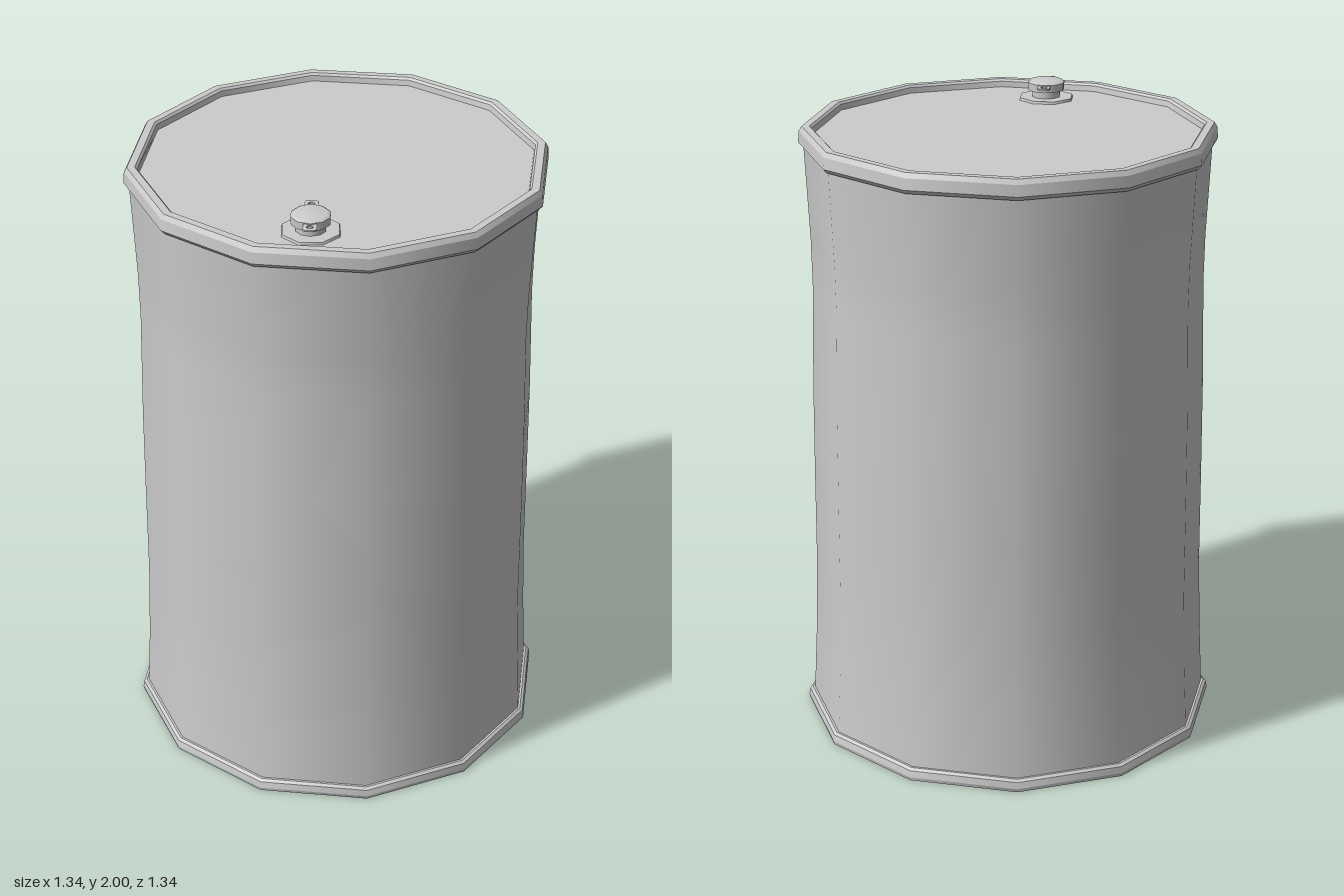
import * as THREE from 'three';
import { mergeGeometries } from 'three/addons/utils/BufferGeometryUtils.js';

const grey = new THREE.MeshStandardMaterial({ color: 0xcccccc });

// Smooth around the axis, sharp between profile segments
function creasedLathe(points, sides) {
  const strips = [];
  for (let i = 0; i < points.length - 1; i++) {
    const pair = [points[i], points[i + 1]].map(([r, y]) => new THREE.Vector2(r, y));
    strips.push(new THREE.LatheGeometry(pair, sides));
  }
  return mergeGeometries(strips);
}

function addMesh(parent, name, geometry) {
  const mesh = new THREE.Mesh(geometry, grey);
  mesh.name = name;
  parent.add(mesh);
  return mesh;
}

export function createModel() {
  const SIDES = 12;
  const drum = new THREE.Group();
  drum.name = 'drum';

  // Base plate with its rolled rim
  addMesh(drum, 'bottomRim', creasedLathe(
    [[0, 0], [0.665, 0], [0.668, 0.012], [0.664, 0.033], [0.655, 0.04], [0.64, 0.04]], SIDES));

  // Slightly waisted, smooth wall
  const wall = [[0.648, 0.04], [0.637, 0.25], [0.629, 0.5], [0.627, 0.8],
    [0.624, 1.1], [0.616, 1.45], [0.618, 1.6], [0.632, 1.9]];
  addMesh(drum, 'wall', new THREE.LatheGeometry(wall.map(([r, y]) => new THREE.Vector2(r, y)), SIDES));

  // Top rim, dropping inside to the recessed lid
  addMesh(drum, 'topRim', creasedLathe(
    [[0.625, 1.897], [0.637, 1.897], [0.648, 1.91], [0.645, 1.945], [0.636, 1.96],
      [0.612, 1.96], [0.605, 1.953], [0.602, 1.935]], SIDES));
  addMesh(drum, 'lid', creasedLathe([[0.604, 1.935], [0, 1.935]], SIDES));

  // Bung: octagonal flange, neck, domed cap
  const bung = new THREE.Group();
  bung.name = 'bung';
  bung.position.set(0.097, 1.935, 0.447);
  drum.add(bung);
  addMesh(bung, 'flange', creasedLathe([[0.091, 0], [0.089, 0.008], [0, 0.008]], 8));

  const cap = new THREE.Group();
  cap.name = 'cap';
  cap.rotation.y = 0.36;
  bung.add(cap);
  addMesh(cap, 'neck', creasedLathe([[0.046, 0.006], [0.046, 0.03]], 10));
  addMesh(cap, 'capSkirt', creasedLathe([[0.044, 0.028], [0.059, 0.03], [0.06, 0.055]], 10));
  addMesh(cap, 'capDome', new THREE.LatheGeometry(
    [[0.06, 0.055], [0.05, 0.062], [0, 0.065]].map(([r, y]) => new THREE.Vector2(r, y)), 10));

  // Thin pierced seal tabs on two opposite sides
  const tab = new THREE.Shape([[-0.02, 0.04], [0.02, 0.04], [0.02, 0.088], [0.013, 0.094],
    [-0.013, 0.094], [-0.02, 0.088]].map(([x, y]) => new THREE.Vector2(x, y)));
  const hole = new THREE.Path();
  hole.absarc(0, 0.073, 0.01, 0, Math.PI * 2, true);
  tab.holes.push(hole);
  const tabGeometry = new THREE.ExtrudeGeometry(tab, { depth: 0.005, bevelEnabled: false, curveSegments: 8 });
  tabGeometry.rotateX(-Math.PI / 2).translate(0, 0.047, 0);
  for (const [name, angle] of [['backTab', 0], ['frontTab', Math.PI]]) {
    addMesh(cap, name, tabGeometry).rotation.y = angle;
  }
  return drum;
}
